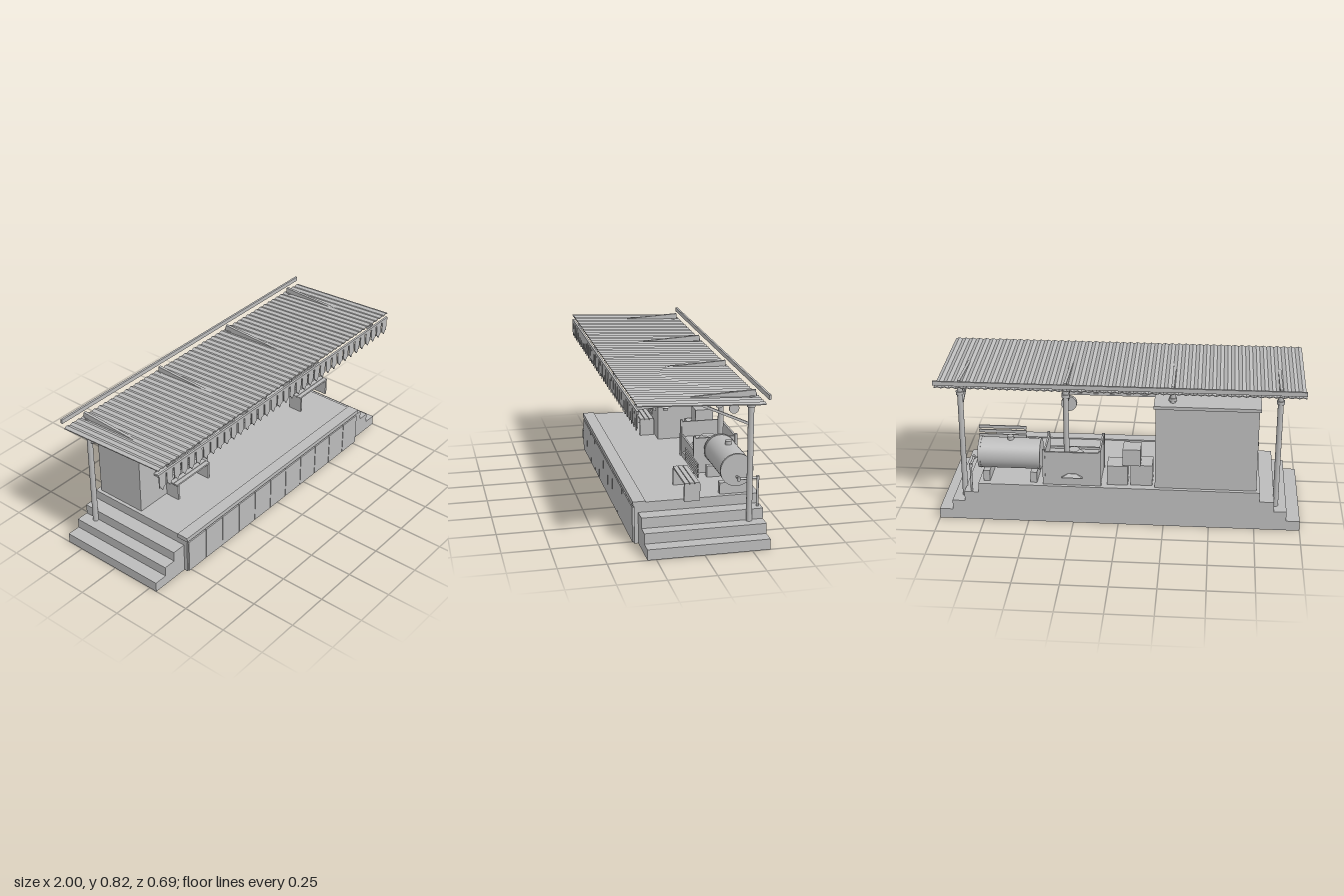
import * as THREE from 'three';

export function createModel() {
  const root = new THREE.Group();
  const grey = new THREE.MeshStandardMaterial({ color: 0xbcbcbc });
  grey.name = 'plainGrey';

  const add = (name, geo, parent = root) => {
    const m = new THREE.Mesh(geo, grey);
    m.name = name;
    parent.add(m);
    return m;
  };
  // Box given by its limits on each axis
  const box = (name, x0, x1, y0, y1, z0, z1, parent) => {
    const m = add(name, new THREE.BoxGeometry(x1 - x0, y1 - y0, z1 - z0), parent);
    m.position.set((x0 + x1) / 2, (y0 + y1) / 2, (z0 + z1) / 2);
    return m;
  };
  // Upright cylinder or cone between two heights
  const column = (name, x, z, y0, y1, rBottom, rTop = rBottom, parent = root) => {
    const m = add(name, new THREE.CylinderGeometry(rTop, rBottom, y1 - y0, 20), parent);
    m.position.set(x, (y0 + y1) / 2, z);
    return m;
  };
  // Straight bar of rectangular section in the y-z plane
  const bar = (name, x, width, thick, y0, z0, y1, z1) => {
    const m = add(name, new THREE.BoxGeometry(width, thick, Math.hypot(y1 - y0, z1 - z0)));
    m.position.set(x, (y0 + y1) / 2, (z0 + z1) / 2);
    m.rotation.x = -Math.atan2(y1 - y0, z1 - z0);
    return m;
  };

  // Platform with end steps and front panels
  box('platform', -0.775, 0.775, 0, 0.224, -0.345, 0.317);
  box('platformEdge', -0.78, 0.78, 0.206, 0.231, 0.258, 0.325);
  for (const s of [-1, 1]) {
    [[1, 0.057], [0.925, 0.113], [0.855, 0.17]].forEach(([x, y], i) => {
      const a = s * 0.77, b = s * x;
      box('step', Math.min(a, b), Math.max(a, b), i ? y - 0.057 : 0, y, -0.345, 0.296);
    });
  }
  for (let i = 0; i < 11; i++) {
    const x = -0.77 + i * 0.14;
    box('frontPanel', x + 0.002, x + 0.138, 0.005, 0.197, 0.317, 0.326);
  }

  // Corrugated roof sheet
  const ridges = 50, half = 1, pts = [];
  for (let i = 0; i <= ridges * 2; i++) pts.push([-half + i / ridges, i % 2 ? 0.005 : -0.002]);
  const profile = new THREE.Shape();
  pts.forEach(([x, y], i) => (i ? profile.lineTo(x, y) : profile.moveTo(x, y)));
  for (const [x, y] of pts.slice().reverse()) profile.lineTo(x, y - 0.005);
  const sheet = new THREE.ExtrudeGeometry(profile, { depth: 0.651, bevelEnabled: false });
  sheet.translate(0, 0, -0.3255);
  const roof = add('roofSheet', sheet);
  roof.position.set(0, 0.794, 0.02);
  roof.rotation.x = -0.05;
  box('rearBeam', -1, 1, 0.797, 0.821, -0.329, -0.317);

  // Posts, rafters, braces and round ornaments
  for (const x of [-0.865, -0.289, 0.289, 0.865]) {
    const foot = Math.abs(x) > 0.5 ? 0.113 : 0.224;
    column('post', x, -0.267, foot, 0.785, 0.0155);
    column('postCollar', x, -0.267, 0.726, 0.744, 0.022);
    bar('rafter', x, 0.016, 0.034, 0.798, -0.289, 0.766, 0.328);
    bar('brace', x, 0.012, 0.013, 0.638, -0.255, 0.765, 0.022);
    for (const [z, y, r] of [[-0.178, 0.722, 0.026], [-0.101, 0.749, 0.02], [-0.025, 0.774, 0.012]]) {
      const disc = add('roundOrnament', new THREE.CylinderGeometry(r, r, 0.008, 24));
      disc.rotation.z = Math.PI / 2;
      disc.position.set(x, y, z);
    }
  }

  // Pointed valance along the front eave
  box('valanceRail', -1, 1, 0.766, 0.781, 0.334, 0.346);
  const teeth = 36, pitch = 2 / teeth, w = 0.022;
  const tooth = new THREE.Shape();
  [[-w, 0.77], [-w, 0.698], [-0.014, 0.698], [0, 0.677], [0.014, 0.698], [w, 0.698], [w, 0.77]]
    .forEach(([x, y], i) => (i ? tooth.lineTo(x, y) : tooth.moveTo(x, y)));
  const toothGeo = new THREE.ExtrudeGeometry(tooth, { depth: 0.006, bevelEnabled: false });
  for (let i = 0; i < teeth; i++) {
    add('valanceTooth', toothGeo).position.set(-1 + (i + 0.5) * pitch, 0, 0.34);
  }

  // Hanging board and lamps
  box('hangingBoard', -0.352, 0.352, 0.584, 0.724, 0.113, 0.126);
  box('boardBottomTrim', -0.358, 0.358, 0.575, 0.585, 0.111, 0.129);
  box('boardTopTrim', -0.358, 0.358, 0.716, 0.726, 0.111, 0.129);
  for (const x of [-0.3, 0.3]) column('boardHanger', x, 0.118, 0.724, 0.785, 0.004);
  for (const x of [-0.578, 0, 0.578]) {
    const lamp = new THREE.Group();
    lamp.name = 'hangingLamp';
    root.add(lamp);
    column('lampRod', x, 0.108, 0.72, 0.785, 0.003, 0.003, lamp);
    column('lampStem', x, 0.108, 0.683, 0.724, 0.008, 0.008, lamp);
    column('lampShade', x, 0.108, 0.662, 0.685, 0.025, 0.009, lamp);
    column('lampBulb', x, 0.108, 0.646, 0.663, 0.013, 0.013, lamp);
  }

  // Clock on its arm
  const clock = add('clock', new THREE.CylinderGeometry(0.043, 0.043, 0.02, 32));
  clock.rotation.x = Math.PI / 2;
  clock.position.set(0.289, 0.623, -0.113);
  const rim = add('clockRim', new THREE.TorusGeometry(0.041, 0.003, 8, 32));
  rim.position.set(0.289, 0.623, -0.103);
  box('clockArm', 0.284, 0.294, 0.662, 0.673, -0.26, -0.113);

  // Hut with shuttered window
  box('hut', -0.755, -0.2, 0.224, 0.699, -0.322, -0.024);
  box('hutRoof', -0.765, -0.19, 0.698, 0.716, -0.332, -0.013);
  for (let i = 0; i < 4; i++) {
    const x = -0.632 + i * 0.079;
    box('shutter', x + 0.001, x + 0.078, 0.418, 0.602, -0.024, -0.019);
  }
  box('windowLedge', -0.645, -0.305, 0.403, 0.415, -0.024, 0);
  box('windowHeader', -0.632, -0.316, 0.632, 0.685, -0.024, -0.018);

  // Benches
  for (const x of [-0.422, 0.685]) {
    const bench = new THREE.Group();
    bench.name = 'bench';
    bench.position.x = x;
    root.add(bench);
    for (let i = 0; i < 3; i++) {
      const z = -0.016 + i * 0.027, y = 0.351 + i * 0.027;
      box('seatSlat', -0.136, 0.136, 0.315, 0.325, z, z + 0.024, bench);
      box('backSlat', -0.136, 0.136, y, y + 0.018, -0.011, -0.004, bench);
    }
    for (const s of [-1, 1]) box('benchLeg', s * 0.125 - 0.006, s * 0.125 + 0.006, 0.224, 0.316, -0.02, 0.064, bench);
  }

  // Storage bin filled with a heap
  box('binFloor', 0.1, 0.412, 0.224, 0.335, -0.315, -0.095);
  box('binFront', 0.1, 0.412, 0.224, 0.348, -0.1, -0.09);
  box('binBack', 0.1, 0.412, 0.224, 0.422, -0.325, -0.314);
  for (const x of [0.1, 0.402]) box('binSide', x, x + 0.01, 0.224, 0.422, -0.32, -0.092);
  for (const x of [0.095, 0.403]) {
    for (const z of [-0.328, -0.098]) box('binCorner', x, x + 0.014, 0.224, 0.433, z, z + 0.014);
  }
  const heap = column('heap', 0.256, -0.205, 0.334, 0.386, 0.09, 0.035);
  heap.scale.set(0.85, 1, 1);
  const lip = new THREE.Shape();
  [[-0.058, 0], [0.058, 0], [0.022, 0.02], [-0.022, 0.02]]
    .forEach(([x, y], i) => (i ? lip.lineTo(x, y) : lip.moveTo(x, y)));
  const lipGeo = new THREE.ExtrudeGeometry(lip, { depth: 0.016, bevelEnabled: false });
  // Slope each lip back towards the wall at its top
  const lp = lipGeo.attributes.position;
  for (let i = 0; i < lp.count; i++) if (lp.getY(i) > 0.01 && lp.getZ(i) > 0.01) lp.setZ(i, 0.002);
  lipGeo.computeVertexNormals();
  add('chuteLip', lipGeo).position.set(0.254, 0.274, -0.09);
  const rearLip = add('chuteLip', lipGeo);
  rearLip.position.set(0.254, 0.274, -0.325);
  rearLip.rotation.y = Math.PI;

  // Crates
  box('crate', -0.185, -0.066, 0.224, 0.345, -0.3, -0.18);
  box('crate', -0.05, 0.065, 0.224, 0.338, -0.305, -0.19);
  box('topCrate', -0.12, -0.022, 0.345, 0.442, -0.308, -0.205);

  // Tank on cradles
  const ring = (name, x, r, len) => {
    const m = add(name, new THREE.CylinderGeometry(r, r, len, 40));
    m.rotation.z = Math.PI / 2;
    m.position.set(x, 0.361, -0.224);
  };
  ring('tank', 0.607, 0.085, 0.34);
  for (const x of [0.442, 0.772]) ring('tankBand', x, 0.088, 0.014);
  column('tankCap', 0.605, -0.224, 0.44, 0.465, 0.018);
  for (const x of [0.452, 0.714]) box('tankCradle', x, x + 0.036, 0.224, 0.286, -0.309, -0.141);

  // Drain pipe running from the tank to the step
  const path = new THREE.CurvePath();
  const nodes = [[0.775, 0.325, -0.224], [0.816, 0.325, -0.224], [0.816, 0.325, -0.325], [0.816, 0.168, -0.325]]
    .map((p) => new THREE.Vector3(...p));
  for (let i = 0; i < 3; i++) path.add(new THREE.LineCurve3(nodes[i], nodes[i + 1]));
  path.curves.forEach((c) => add('drainPipe', new THREE.TubeGeometry(c, 1, 0.0065, 12)));
  for (const n of nodes.slice(1, 3)) column('pipeElbow', n.x, n.z, 0.315, 0.335, 0.009);

  return root;
}
